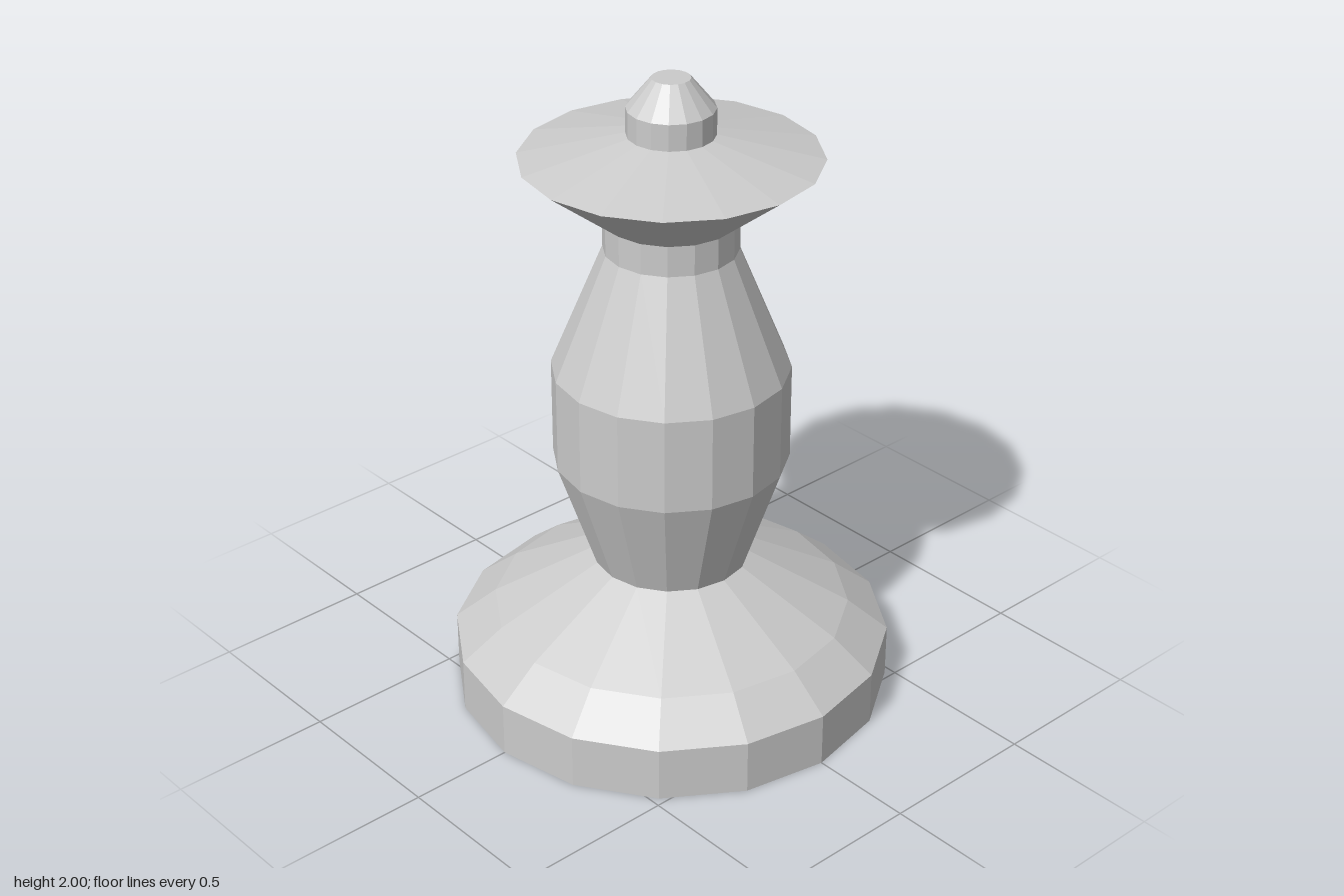
import * as THREE from 'three';

const SIDES = 16;

// Faceted turned part from [radius, height] pairs, listed bottom to top
function turned(name, profile, material) {
  const points = profile.map(([r, y]) => new THREE.Vector2(r, y));
  const mesh = new THREE.Mesh(new THREE.LatheGeometry(points, SIDES), material);
  mesh.name = name;
  return mesh;
}

export function createModel() {
  const group = new THREE.Group();
  group.name = 'chessPiece';
  const material = new THREE.MeshStandardMaterial({ color: 0xcccccc, flatShading: true, side: THREE.DoubleSide });

  group.add(
    // Closed disc foot with a two-step sloping top
    turned('base', [[0, 0], [0.675, 0], [0.675, 0.17], [0.55, 0.27], [0.24, 0.44]], material),
    // Bulging stem that narrows to a short neck
    turned('body', [[0.24, 0.44], [0.358, 0.79], [0.358, 1.09], [0.2, 1.475], [0.2, 1.57]], material),
    // Wide flared crown with a shallow cone on top
    turned('crown', [[0.2, 1.57], [0.443, 1.76], [0.13, 1.83]], material),
    // Small knob with a chamfered, flat tip
    turned('finial', [[0.13, 1.83], [0.13, 1.91], [0.057, 2], [0, 2]], material)
  );
  return group;
}
